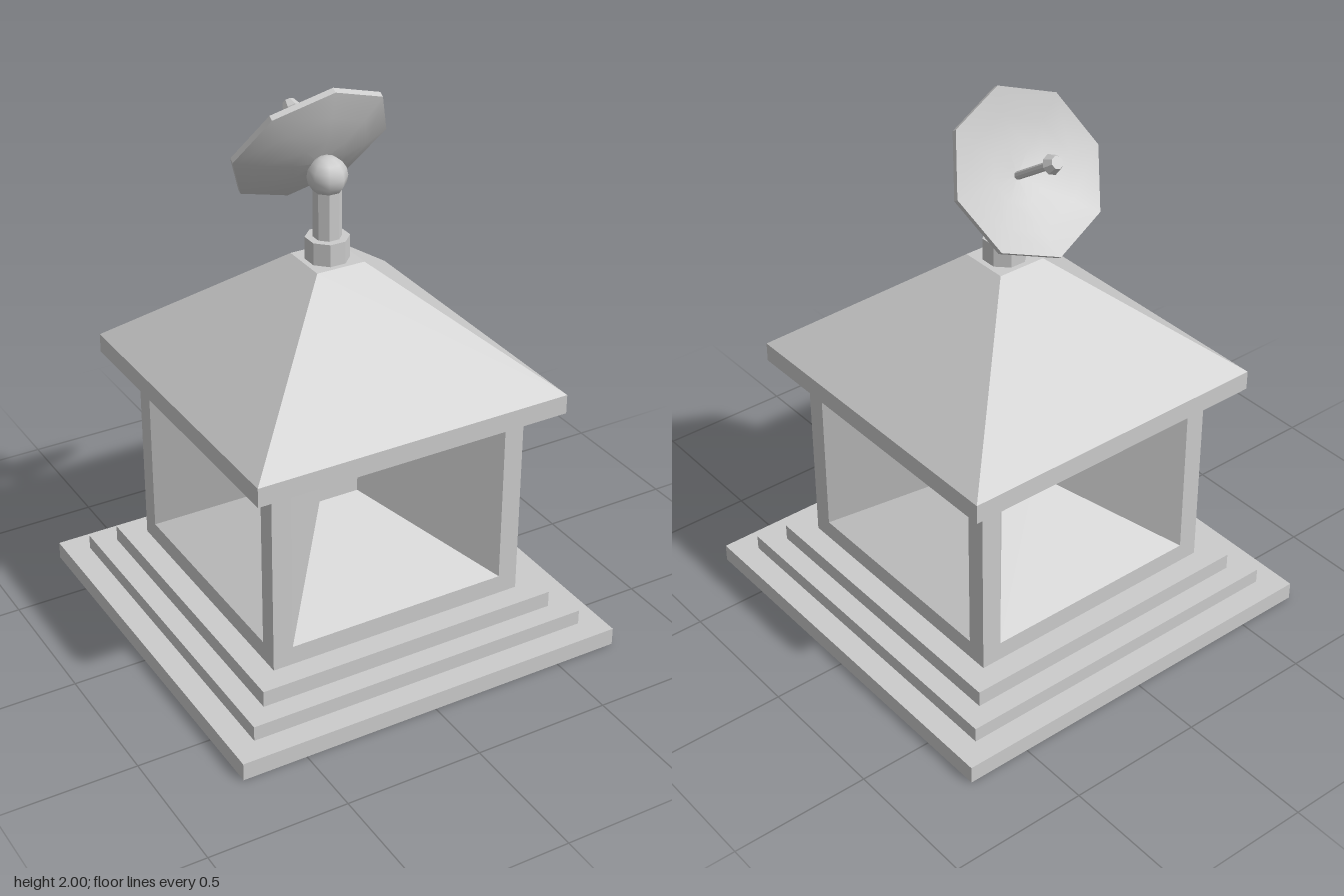
import * as THREE from 'three';

const flat = new THREE.MeshStandardMaterial({ color: 0xcccccc, flatShading: true, side: THREE.DoubleSide });
const smooth = new THREE.MeshStandardMaterial({ color: 0xcccccc, side: THREE.DoubleSide });

function add(parent, name, geometry, material = flat) {
  const mesh = new THREE.Mesh(geometry, material);
  mesh.name = name;
  parent.add(mesh);
  return mesh;
}

function lathe(points, sides) {
  return new THREE.LatheGeometry(points.map(([r, y]) => new THREE.Vector2(r, y)), sides);
}

// Square shell from a profile of [half width, height]
function squareShell(profile) {
  return lathe(profile.map(([h, y]) => [h * Math.SQRT2, y]), 4).rotateY(Math.PI / 4);
}

// Counterclockwise rectangle corners, seen from +z
function rect(h, y0, y1) {
  return [[-h, y0], [h, y0], [h, y1], [-h, y1]];
}

// Funnel between an outer and an inner rectangle, closed at the inner end
function funnel(outer, zOuter, inner, zInner) {
  const pos = [...outer.map(([x, y]) => [x, y, zOuter]), ...inner.map(([x, y]) => [x, y, zInner])].flat();
  const index = [4, 5, 6, 4, 6, 7];
  for (let i = 0; i < 4; i++) {
    const j = (i + 1) % 4;
    index.push(i, j, j + 4, i, j + 4, i + 4);
  }
  const geometry = new THREE.BufferGeometry();
  geometry.setAttribute('position', new THREE.Float32BufferAttribute(pos, 3));
  geometry.setIndex(index);
  const result = geometry.toNonIndexed();
  result.computeVertexNormals();
  return result;
}

export function createModel() {
  const model = new THREE.Group();
  model.name = 'dishPavilion';

  // Stepped base, open underneath
  add(model, 'steppedBase', squareShell([
    [0.735, 0], [0.735, 0.065], [0.648, 0.065], [0.648, 0.12], [0.57, 0.12], [0.57, 0.18], [0.485, 0.18],
  ]));

  // Four walls, each with a deep tapering recess
  const toPoints = (list) => list.map(([x, y]) => new THREE.Vector2(x, y));
  const opening = rect(0.412, 0.25, 0.84);
  const wallShape = new THREE.Shape(toPoints(rect(0.485, 0.18, 0.91)));
  wallShape.holes.push(new THREE.Path(toPoints(opening)));
  const wallGeometry = new THREE.ShapeGeometry(wallShape).translate(0, 0, 0.485);
  const recessGeometry = funnel(opening, 0.485, rect(0.076, 0.49, 0.6), 0.078);
  ['front', 'left', 'back', 'right'].forEach((side, i) => {
    const group = new THREE.Group();
    group.name = side + 'Side';
    group.rotation.y = i * Math.PI / 2;
    add(group, 'wall', wallGeometry);
    add(group, 'recess', recessGeometry);
    model.add(group);
  });

  // Hipped roof with overhanging eaves
  add(model, 'roof', squareShell([[0.485, 0.91], [0.585, 0.91], [0.585, 0.98], [0.09, 1.385], [0, 1.385]]));

  // Mast: collar, post and ball joint
  const turn = Math.PI / 8;
  add(model, 'mastCollar', new THREE.CylinderGeometry(0.076, 0.076, 0.08, 8).rotateY(turn)).position.y = 1.425;
  add(model, 'mastPost', new THREE.CylinderGeometry(0.049, 0.049, 0.2, 8).rotateY(turn)).position.y = 1.56;
  add(model, 'ballJoint', new THREE.SphereGeometry(0.069, 8, 8).rotateY(turn), smooth).position.y = 1.68;

  // Tilted dish, facing up and back
  const dish = new THREE.Group();
  dish.name = 'dish';
  dish.position.set(0, 1.757, -0.125);
  dish.rotation.x = -0.982;
  model.add(dish);
  const bowl = [[0, -0.072], [0.1, -0.062], [0.2, -0.036], [0.29, 0]];
  const thickness = 0.02;
  add(dish, 'dishInside', lathe([...bowl].reverse(), 8), smooth);
  add(dish, 'dishOutside', lathe(bowl.map(([r, y]) => [r, y - thickness]), 8), smooth);
  add(dish, 'dishRim', lathe([[0.29, -thickness], [0.29, 0]], 8));

  // Feed arm and its head
  add(dish, 'feedArm', new THREE.CylinderGeometry(0.014, 0.014, 0.19, 8)).position.y = 0.023;
  add(dish, 'feedHead', lathe([[0.012, 0.112], [0.035, 0.13], [0.022, 0.163], [0, 0.163]], 8));

  return model;
}
